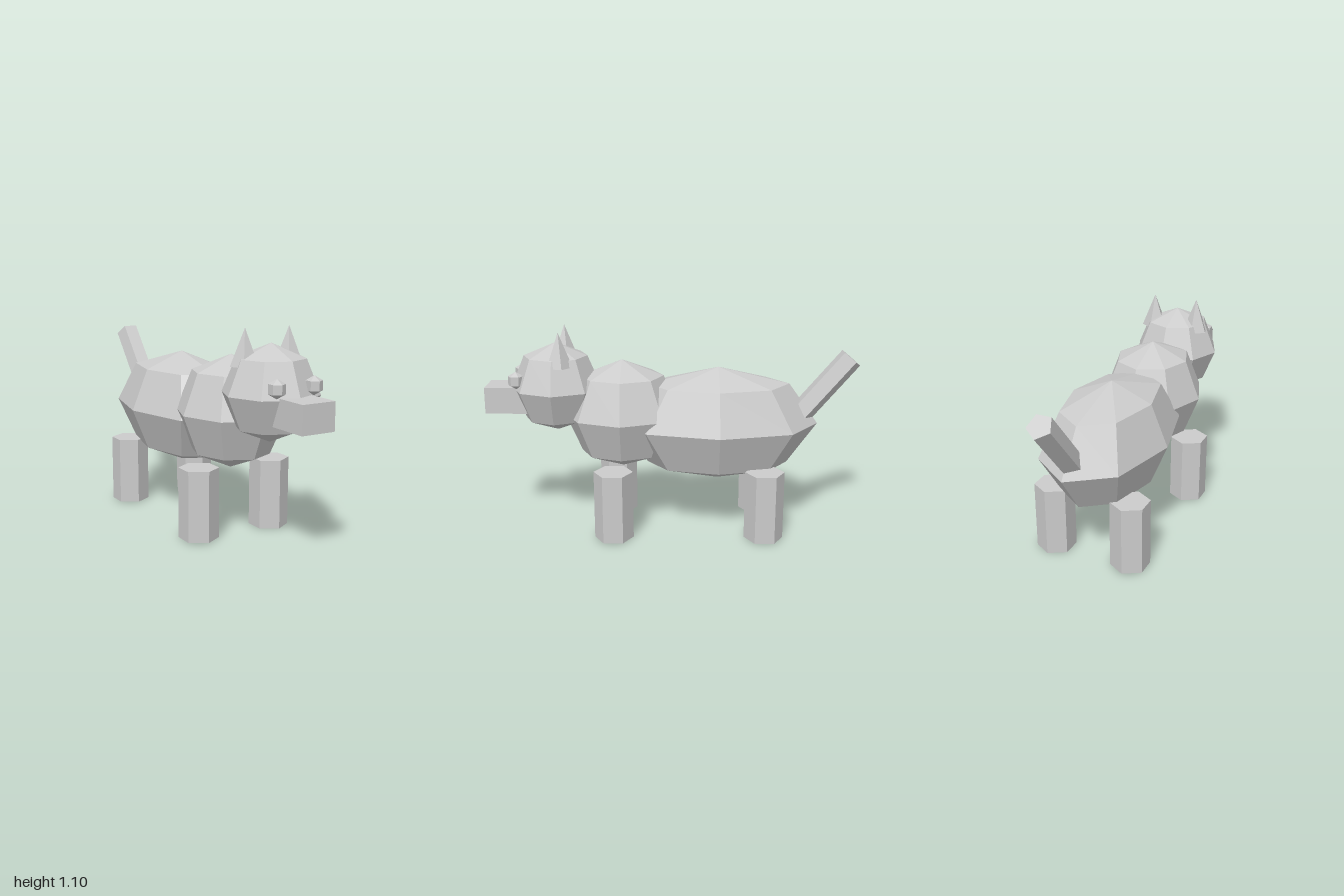
import * as THREE from 'three';

export function createModel() {
  const model = new THREE.Group();
  model.name = 'dog';
  const material = new THREE.MeshStandardMaterial({ color: 0xcccccc, flatShading: true });

  const add = (name, geometry, x, y, z) => {
    const mesh = new THREE.Mesh(geometry, material);
    mesh.name = name;
    mesh.position.set(x, y, z);
    model.add(mesh);
    return mesh;
  };
  const ball = (rx, ry, rz) => new THREE.SphereGeometry(1, 8, 4).scale(rx, ry, rz);

  // Three faceted ellipsoids form the trunk and head
  add('body', ball(0.311, 0.3125, 0.54), 0, 0.577, -0.24);
  add('chest', ball(0.28, 0.297, 0.315), 0, 0.632, 0.275);
  add('head', ball(0.24, 0.24, 0.24), 0, 0.781, 0.628);

  // Blocky snout
  add('snout', new THREE.BoxGeometry(0.183, 0.14, 0.28), 0, 0.722, 0.86);

  // Paired parts on both sides
  const legGeometry = new THREE.CylinderGeometry(0.104, 0.104, 0.37, 6);
  const eyeGeometry = new THREE.SphereGeometry(0.047, 6, 3).rotateY(Math.PI / 2);
  const earGeometry = new THREE.ConeGeometry(0.072, 0.182, 5).rotateY(Math.PI);
  for (const [side, s] of [['left', 1], ['right', -1]]) {
    add(`${side}FrontLeg`, legGeometry, s * 0.216, 0.185, 0.317);
    add(`${side}BackLeg`, legGeometry, s * 0.216, 0.185, -0.483);
    add(`${side}Eye`, eyeGeometry, s * 0.105, 0.837, 0.826);
    add(`${side}Ear`, earGeometry, s * 0.127, 1.004, 0.594);
  }

  // Raised five-sided tail
  const tailGeometry = new THREE.CylinderGeometry(0.066, 0.066, 0.4, 5).rotateY(Math.PI);
  add('tail', tailGeometry, 0, 0.786, -0.815).rotation.x = -0.7;

  return model;
}
